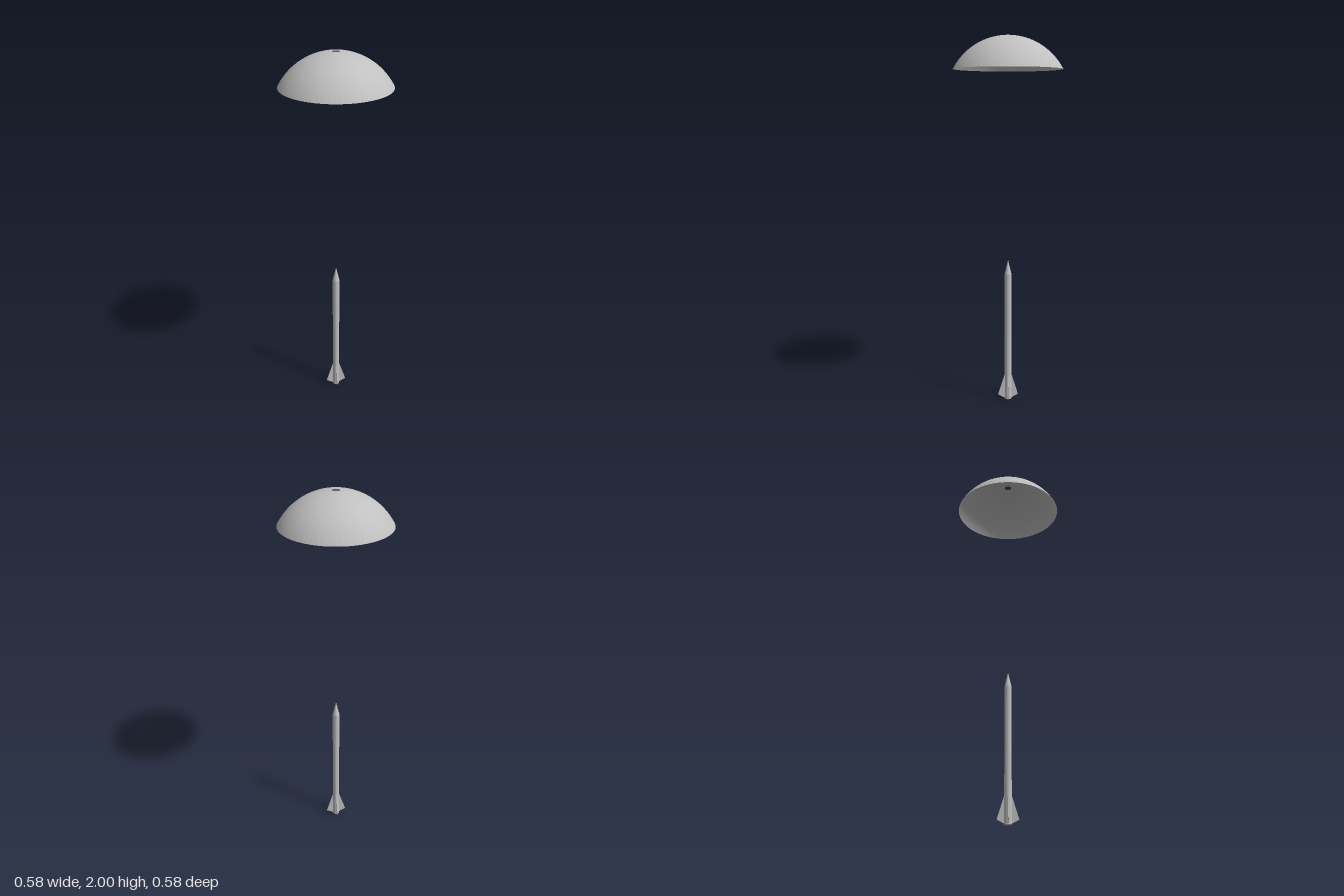
import * as THREE from 'three';

export function createModel() {
  const model = new THREE.Group();
  model.name = 'rocketWithParachute';

  const grey = new THREE.MeshStandardMaterial({ color: 0xc0c0c0, flatShading: true });
  grey.name = 'grey';
  const greyFabric = grey.clone();
  greyFabric.side = THREE.DoubleSide;
  greyFabric.name = 'greyFabric';

  const add = (name, geometry, material = grey) => {
    const mesh = new THREE.Mesh(geometry, material);
    mesh.name = name;
    model.add(mesh);
    return mesh;
  };

  // Parachute canopy: a spherical cap with a small vent at the crown
  const rim = 0.291, height = 0.175, vent = 0.0196;
  const radius = (rim * rim + height * height) / (2 * height);
  const start = Math.asin(vent / radius);
  const end = Math.asin(rim / radius);
  const canopy = add('canopy',
    new THREE.SphereGeometry(radius, 64, 32, 0, Math.PI * 2, start, end - start), greyFabric);
  canopy.position.y = 2 - radius * Math.cos(start);

  // Rocket body and nose
  const bodyRadius = 0.0188, bodyHeight = 0.72, noseHeight = 0.08;
  add('body', new THREE.CylinderGeometry(bodyRadius, bodyRadius, bodyHeight, 32))
    .position.y = bodyHeight / 2;
  add('nose', new THREE.ConeGeometry(bodyRadius, noseHeight, 32))
    .position.y = bodyHeight + noseHeight / 2;

  // Four swept fins around the tail
  const thickness = 0.004;
  const outline = new THREE.Shape([
    new THREE.Vector2(0.016, 0.003),
    new THREE.Vector2(0.056, 0.024),
    new THREE.Vector2(0.0188, 0.142),
    new THREE.Vector2(0.016, 0.142),
  ]);
  const finGeometry = new THREE.ExtrudeGeometry(outline, { depth: thickness, bevelEnabled: false });
  finGeometry.translate(0, 0, -thickness / 2);
  for (let i = 0; i < 4; i++) {
    add('fin', finGeometry).rotation.y = i * Math.PI / 2;
  }

  return model;
}
